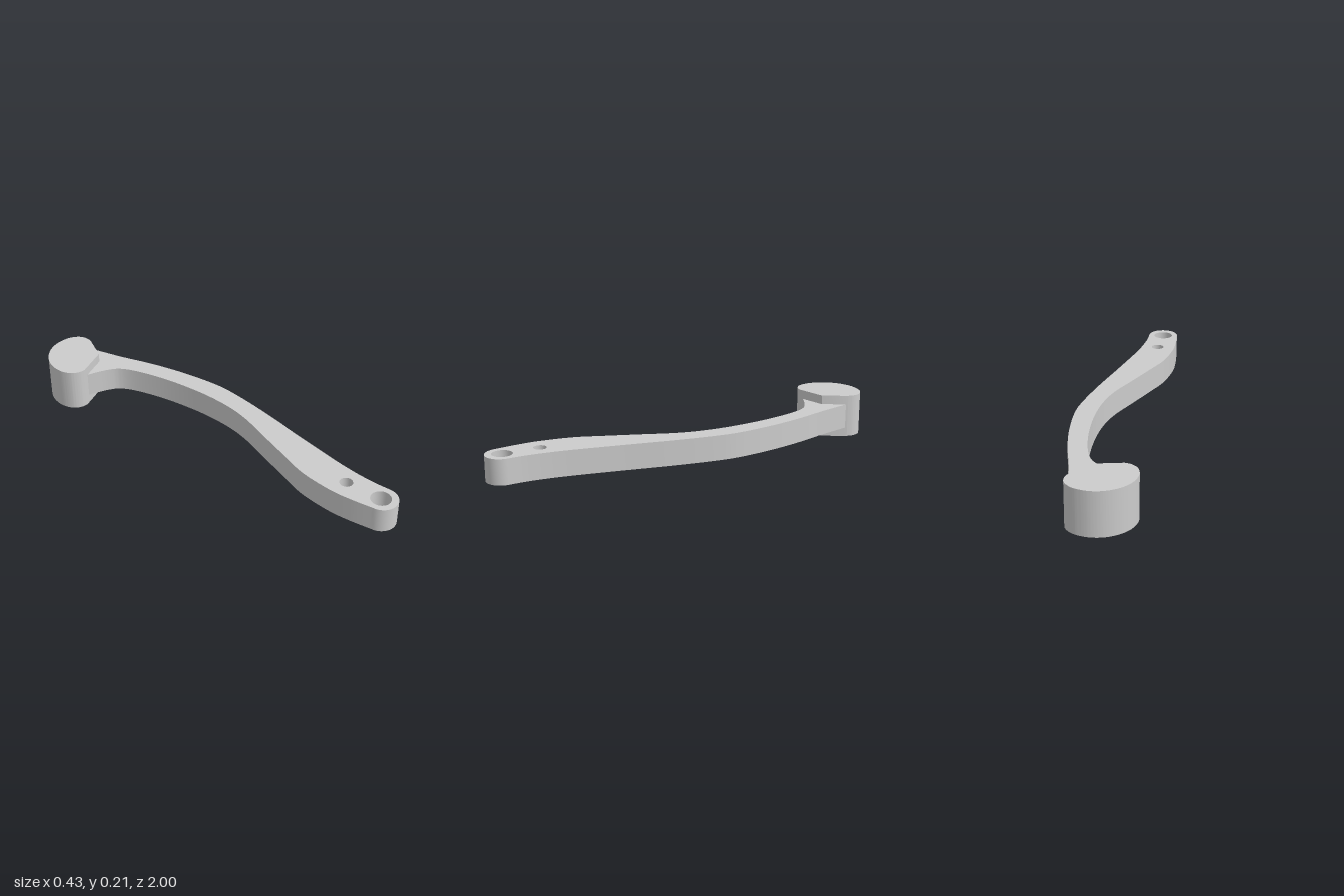
import * as THREE from 'three';
import { toCreasedNormals } from 'three/addons/utils/BufferGeometryUtils.js';

const vectors = (pairs) => pairs.map(([x, z]) => new THREE.Vector2(x, z));

// Plan outline (x, z) raised into a slab between two heights
function slab(name, shape, bottom, top) {
  const geometry = new THREE.ExtrudeGeometry(shape, {
    depth: top - bottom, bevelEnabled: false, curveSegments: 10,
  });
  geometry.rotateX(Math.PI / 2);
  geometry.translate(0, top, 0);
  const mesh = new THREE.Mesh(
    toCreasedNormals(geometry, 0.5),
    new THREE.MeshStandardMaterial({ color: 0xcccccc }),
  );
  mesh.name = name;
  return mesh;
}

function hole(x, z, radius) {
  const path = new THREE.Path();
  path.absarc(x, z, radius, 0, Math.PI * 2, true);
  return path;
}

// S-curved lever with a rounded, drilled tip; its root is sunk in the head
function leverShape() {
  const shape = new THREE.Shape();
  shape.moveTo(0.073, -0.87);
  shape.splineThru(vectors([
    [0.11, -0.71], [0.16, -0.53], [0.196, -0.344], [0.213, -0.16], [0.203, -0.026],
    [0.172, 0.16], [0.122, 0.4], [0.071, 0.66], [0.053, 0.82], [0.054, 0.925],
  ]));
  shape.absarc(-0.021, 0.925, 0.075, 0, Math.PI, false);
  shape.splineThru(vectors([
    [-0.107, 0.82], [-0.109, 0.71], [-0.087, 0.555], [-0.04, 0.42], [0.018, 0.265],
    [0.078, 0.106], [0.106, -0.026], [0.114, -0.185], [0.1, -0.37], [0.069, -0.53],
    [0.032, -0.63], [-0.02, -0.682], [-0.112, -0.733],
  ]));
  shape.lineTo(-0.04, -0.83);
  shape.closePath();
  shape.holes.push(hole(-0.022, 0.92, 0.048), hole(-0.022, 0.741, 0.031));
  return shape;
}

// Round head with softened corners and a shallow V-shaped front
function headShape() {
  const shape = new THREE.Shape();
  shape.moveTo(0.012, -0.765);
  shape.lineTo(-0.135, -0.727);
  shape.splineThru(vectors([
    [-0.165, -0.734], [-0.197, -0.76], [-0.214, -0.805], [-0.213, -0.855],
    [-0.195, -0.907], [-0.155, -0.956], [-0.1, -0.989], [-0.04, -1], [0.02, -0.989],
    [0.055, -0.967], [0.075, -0.94], [0.081, -0.91], [0.076, -0.88],
  ]));
  shape.closePath();
  return shape;
}

export function createModel() {
  const model = new THREE.Group();
  model.name = 'lever';
  model.add(slab('leverArm', leverShape(), 0.045, 0.168));
  model.add(slab('leverHead', headShape(), 0, 0.213));
  return model;
}
